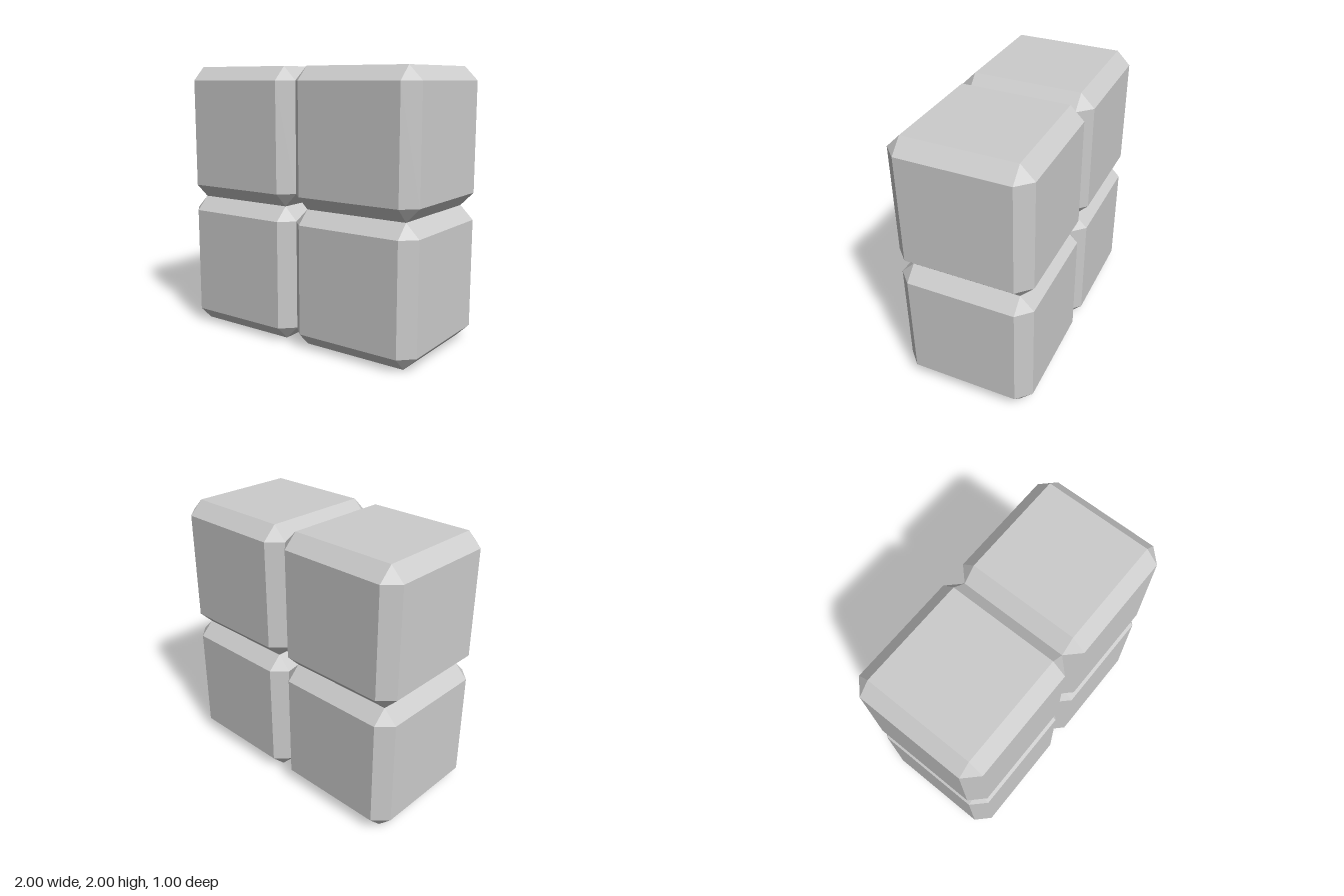
import * as THREE from 'three';
import { ConvexGeometry } from 'three/addons/geometries/ConvexGeometry.js';

const SIZE = 1;
const BEVEL = 0.1;

// Cube with every edge and corner cut flat: the hull of its six inset faces
function chamferedCube(size, bevel) {
  const outer = size / 2;
  const inner = outer - bevel;
  const points = [];
  for (const x of [-1, 1]) for (const y of [-1, 1]) for (const z of [-1, 1]) {
    points.push(
      new THREE.Vector3(x * outer, y * inner, z * inner),
      new THREE.Vector3(x * inner, y * outer, z * inner),
      new THREE.Vector3(x * inner, y * inner, z * outer),
    );
  }
  return new ConvexGeometry(points);
}

export function createModel() {
  const group = new THREE.Group();
  group.name = 'squareOfBlocks';
  const material = new THREE.MeshStandardMaterial({ color: 0xcccccc, flatShading: true });
  const geometry = chamferedCube(SIZE, BEVEL);

  // Two by two blocks, touching face to face
  for (const [row, level] of [['lower', 0], ['upper', 1]]) {
    for (const [side, sign] of [['Right', -1], ['Left', 1]]) {
      const block = new THREE.Mesh(geometry, material);
      block.name = `${row}${side}Block`;
      block.position.set(sign * SIZE / 2, (level + 0.5) * SIZE, 0);
      group.add(block);
    }
  }
  return group;
}
